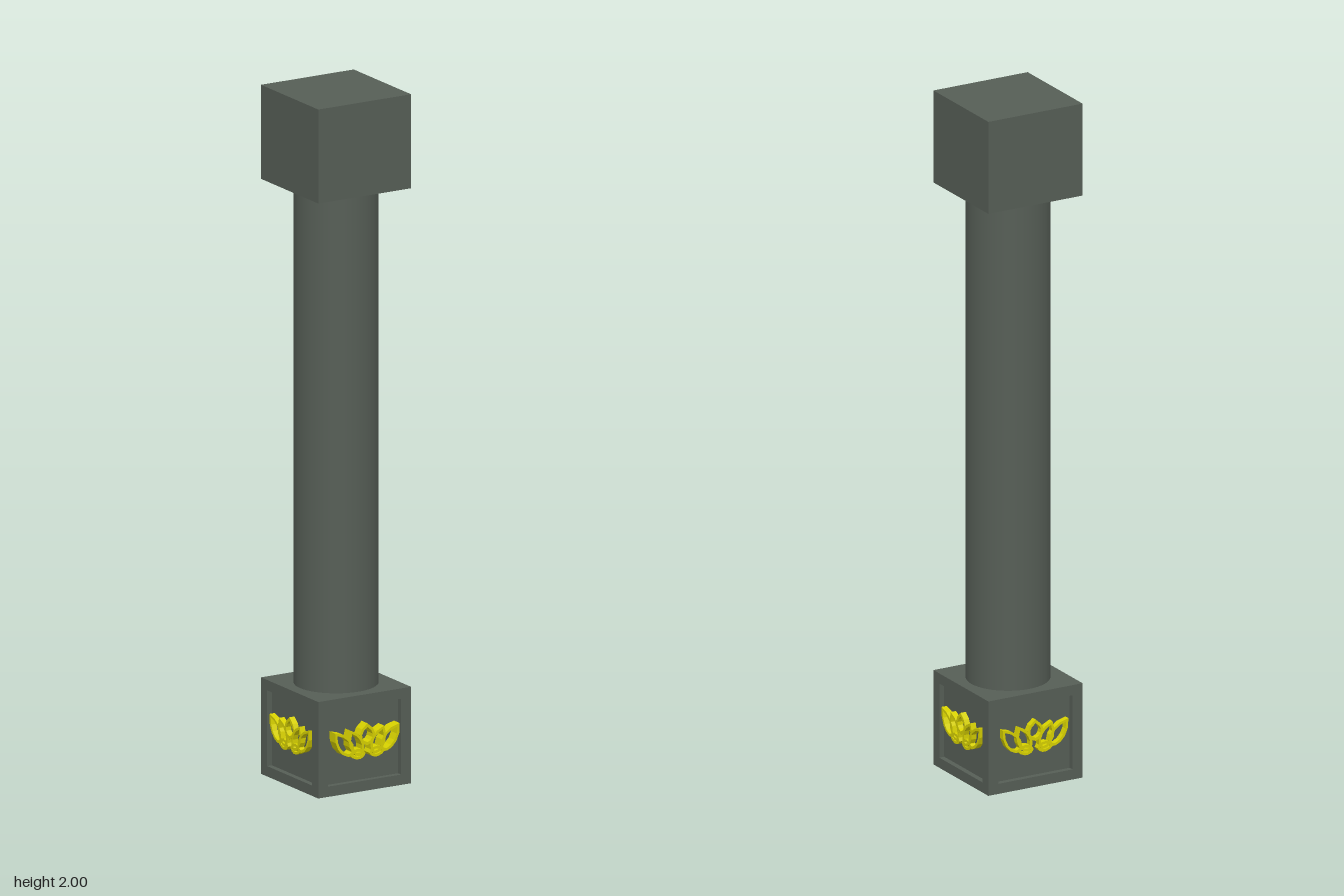
import * as THREE from 'three';

const stone = new THREE.MeshStandardMaterial({ color: 0x565e56 });
stone.name = 'grey stone';
const gold = new THREE.MeshStandardMaterial({ color: 0xd6d000 });
gold.name = 'yellow gold';

const W = 0.305, H = W / 2, BASE = 0.28, RECESS = 0.016;

function add(parent, name, geometry, material, x = 0, y = 0, z = 0) {
  const mesh = new THREE.Mesh(geometry, material);
  mesh.name = name;
  mesh.position.set(x, y, z);
  parent.add(mesh);
  return mesh;
}

// Pointed petal outline starting at its root and growing along +y
function petalPath(PathType, y0, length, halfWidth) {
  const p = new PathType();
  p.moveTo(0, y0);
  p.bezierCurveTo(halfWidth * 1.1, y0 + length * 0.1, halfWidth * 1.5, y0 + length * 0.62, 0, y0 + length);
  p.bezierCurveTo(-halfWidth * 1.5, y0 + length * 0.62, -halfWidth * 1.1, y0 + length * 0.1, 0, y0);
  return p;
}

function petalGeometry(length, halfWidth, depth) {
  const shape = petalPath(THREE.Shape, 0, length, halfWidth);
  shape.holes.push(petalPath(THREE.Path, 0.009, length - 0.02, halfWidth - 0.008));
  return new THREE.ExtrudeGeometry(shape, { depth, bevelEnabled: false, curveSegments: 5 });
}

// Lotus emblem: [root x, root y, tilt, length, half width]
function lotus(depth) {
  const group = new THREE.Group();
  group.name = 'lotusEmblem';
  const petals = [
    [0, 0.136, 0, 0.064, 0.026],
    [0.02, 0.108, -0.42, 0.085, 0.024],
    [0.047, 0.112, -0.68, 0.094, 0.024],
    [0.006, 0.113, -1.5, 0.055, 0.016],
  ];
  petals.forEach(([x, y, tilt, length, width], i) => {
    for (const side of i === 0 ? [1] : [1, -1]) {
      const petal = add(group, 'lotusPetal', petalGeometry(length, width, depth), gold, side * x, y, 0);
      petal.rotation.z = side * tilt;
    }
  });
  return group;
}

// Square border around a sunken panel
function frameGeometry() {
  const s = new THREE.Shape();
  s.moveTo(-H, 0).lineTo(H, 0).lineTo(H, BASE).lineTo(-H, BASE).closePath();
  const hole = new THREE.Path();
  hole.moveTo(-0.12, 0.03).lineTo(-0.12, 0.25).lineTo(0.12, 0.25).lineTo(0.12, 0.03).closePath();
  s.holes.push(hole);
  return new THREE.ExtrudeGeometry(s, { depth: RECESS, bevelEnabled: false });
}

export function createModel() {
  const root = new THREE.Group();
  root.name = 'column';
  const body = new THREE.Group();
  body.name = 'columnBody';
  body.position.set(-0.0015, 0, -0.0085);
  root.add(body);

  // Capital and round shaft
  add(body, 'capital', new THREE.BoxGeometry(W, 0.273, W), stone, 0, 1.8635, 0);
  add(body, 'shaft', new THREE.CylinderGeometry(0.119, 0.119, 1.45, 48, 1, true), stone, 0, 1.004, 0);

  // Pedestal core with a framed panel and emblem on each side
  const core = W - 2 * RECESS;
  add(body, 'pedestalCore', new THREE.BoxGeometry(core, BASE, core), stone, 0, BASE / 2, 0);
  const frame = frameGeometry();
  for (let i = 0; i < 4; i++) {
    const side = new THREE.Group();
    side.name = 'pedestalSide';
    side.rotation.y = i * Math.PI / 2;
    add(side, 'panelFrame', frame, stone, 0, 0, H - RECESS);
    // The front emblem stands proud of its frame
    const emblem = lotus(i === 0 ? RECESS + 0.015 : RECESS + 0.001);
    emblem.position.z = H - RECESS;
    side.add(emblem);
    body.add(side);
  }
  return root;
}
